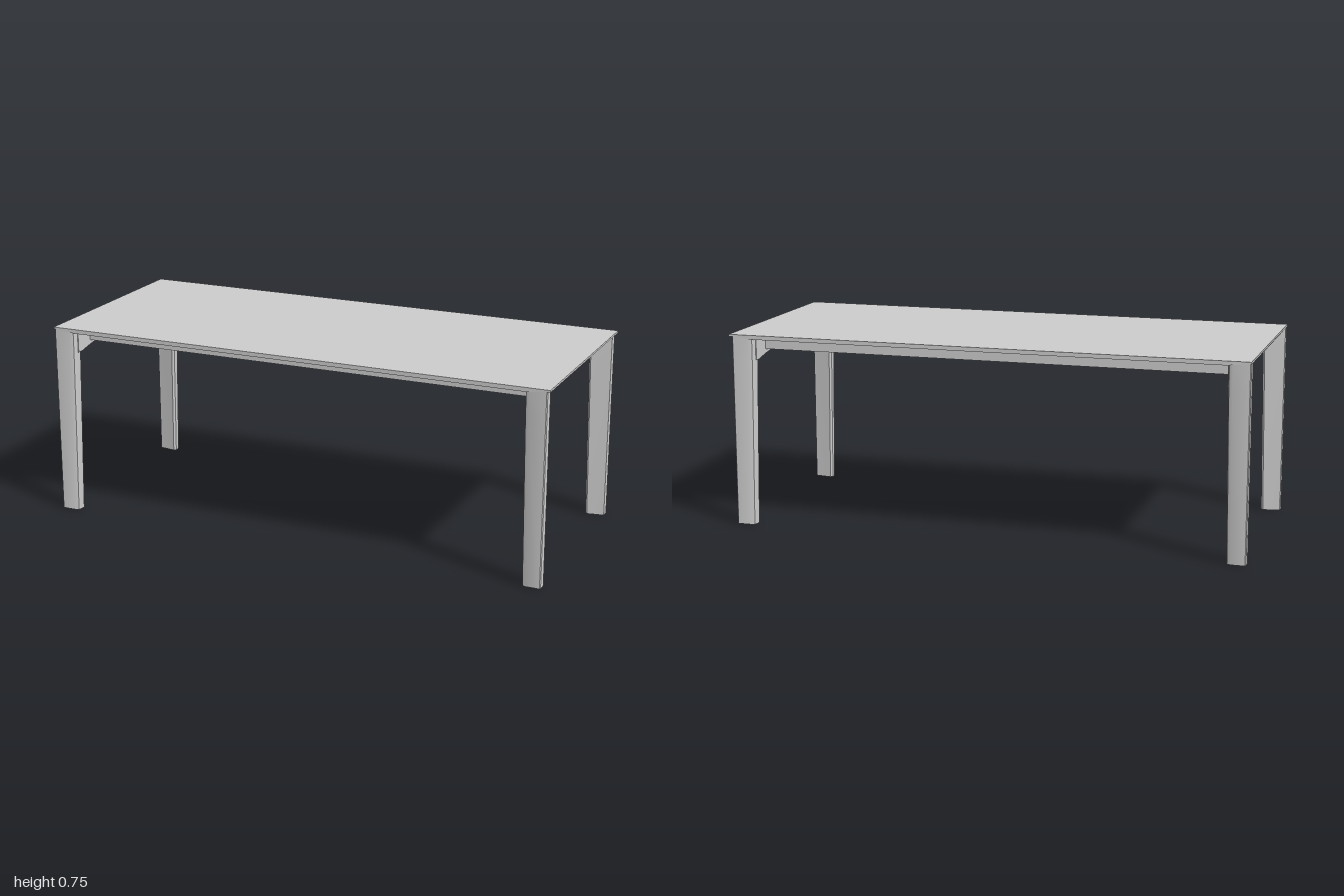
import * as THREE from 'three';
import { toCreasedNormals } from 'three/addons/utils/BufferGeometryUtils.js';

const material = new THREE.MeshStandardMaterial({ color: 0xcccccc });

// Closed solid skinned over rings of [x, y, z] points, with fan caps, wound outwards
function loft(rings) {
  const tris = [];
  const n = rings[0].length;
  for (let i = 0; i < rings.length - 1; i++) {
    for (let j = 0; j < n; j++) {
      const k = (j + 1) % n;
      const a = rings[i][j], b = rings[i][k], c = rings[i + 1][k], d = rings[i + 1][j];
      tris.push([a, b, c], [a, c, d]);
    }
  }
  const first = rings[0], last = rings[rings.length - 1];
  for (let j = 1; j < n - 1; j++) {
    tris.push([first[0], first[j + 1], first[j]], [last[0], last[j], last[j + 1]]);
  }
  // Signed volume tells whether the winding must be turned around
  let volume = 0;
  for (const t of tris) {
    const [a, b, c] = t.map((p) => new THREE.Vector3(...p));
    volume += a.dot(b.cross(c));
  }
  if (volume < 0) tris.forEach((t) => t.reverse());
  const geo = new THREE.BufferGeometry();
  geo.setAttribute('position', new THREE.Float32BufferAttribute(tris.flat(2), 3));
  return toCreasedNormals(geo, 0.45);
}

function add(parent, name, geo, x = 0, y = 0, z = 0) {
  const mesh = new THREE.Mesh(geo, material);
  mesh.name = name;
  mesh.position.set(x, y, z);
  parent.add(mesh);
  return mesh;
}

// Leg: flat outer faces, slanted inner face, chamfered inner edge, slight widening upwards
function legGeometry(sx, sz) {
  const rings = [[0, 0.92, 0.371], [0.645, 0.91, 0.363], [0.738, 0.91, 0.363]].map(([y, xi, zi]) =>
    [
      [0.994, 0.381], [0.994, 0.412], [0.991, 0.416], [xi + 0.018, 0.416],
      [xi + 0.005, 0.41], [xi, 0.397], [xi, zi + 0.008], [xi + 0.008, zi],
    ].map(([x, z]) => [sx * x, y, sz * z]));
  return loft(rings);
}

// End rail: rounded upper edge, slanted underside, lower edge dropping towards the legs
function endRailGeometry(sx) {
  const rings = [];
  for (let i = 0; i <= 32; i++) {
    const z = -0.388 + (0.776 * i) / 32;
    const t = Math.max(0, Math.min(1, (Math.abs(z) - 0.2) / 0.165));
    const bottom = 0.668 - 0.023 * Math.pow(t, 1.5);
    const slantX = 0.972 - (0.71 - bottom) * 0.95;
    rings.push([
      [0.985, 0.738], [0.985, 0.728], [0.982, 0.72], [0.972, 0.71],
      [slantX, bottom], [0.907, bottom], [0.907, 0.738],
    ].map(([x, y]) => [sx * x, y, z]));
  }
  return loft(rings);
}

export function createModel() {
  const table = new THREE.Group();
  table.name = 'table';

  // Thin top
  add(table, 'tableTop', new THREE.BoxGeometry(2, 0.008, 0.84), 0, 0.741, 0);

  // Narrow lips under the long edges, tapering out at the corners
  const lip = new THREE.Shape([
    [-1, 0.738], [-0.91, 0.729], [0.91, 0.729], [1, 0.738],
  ].map(([x, y]) => new THREE.Vector2(x, y)));
  const lipGeo = new THREE.ExtrudeGeometry(lip, { depth: 0.004, bevelEnabled: false });
  add(table, 'frontLip', lipGeo, 0, 0, 0.416);
  add(table, 'backLip', lipGeo, 0, 0, -0.42);

  // Underframe
  const frame = new THREE.Group();
  frame.name = 'underframe';
  frame.position.x = -0.005;
  table.add(frame);

  for (const sx of [-1, 1]) {
    const side = sx > 0 ? 'left' : 'right';
    add(frame, side + 'EndRail', endRailGeometry(sx));
    for (const sz of [-1, 1]) {
      add(frame, side + (sz > 0 ? 'FrontLeg' : 'BackLeg'), legGeometry(sx, sz));
    }
  }

  // Long rails set in from the edges
  const longRail = new THREE.BoxGeometry(1.82, 0.064, 0.025);
  for (const sz of [-1, 1]) {
    add(frame, sz > 0 ? 'frontLongRail' : 'backLongRail', longRail, 0, 0.706, sz * 0.29);
  }
  return table;
}
